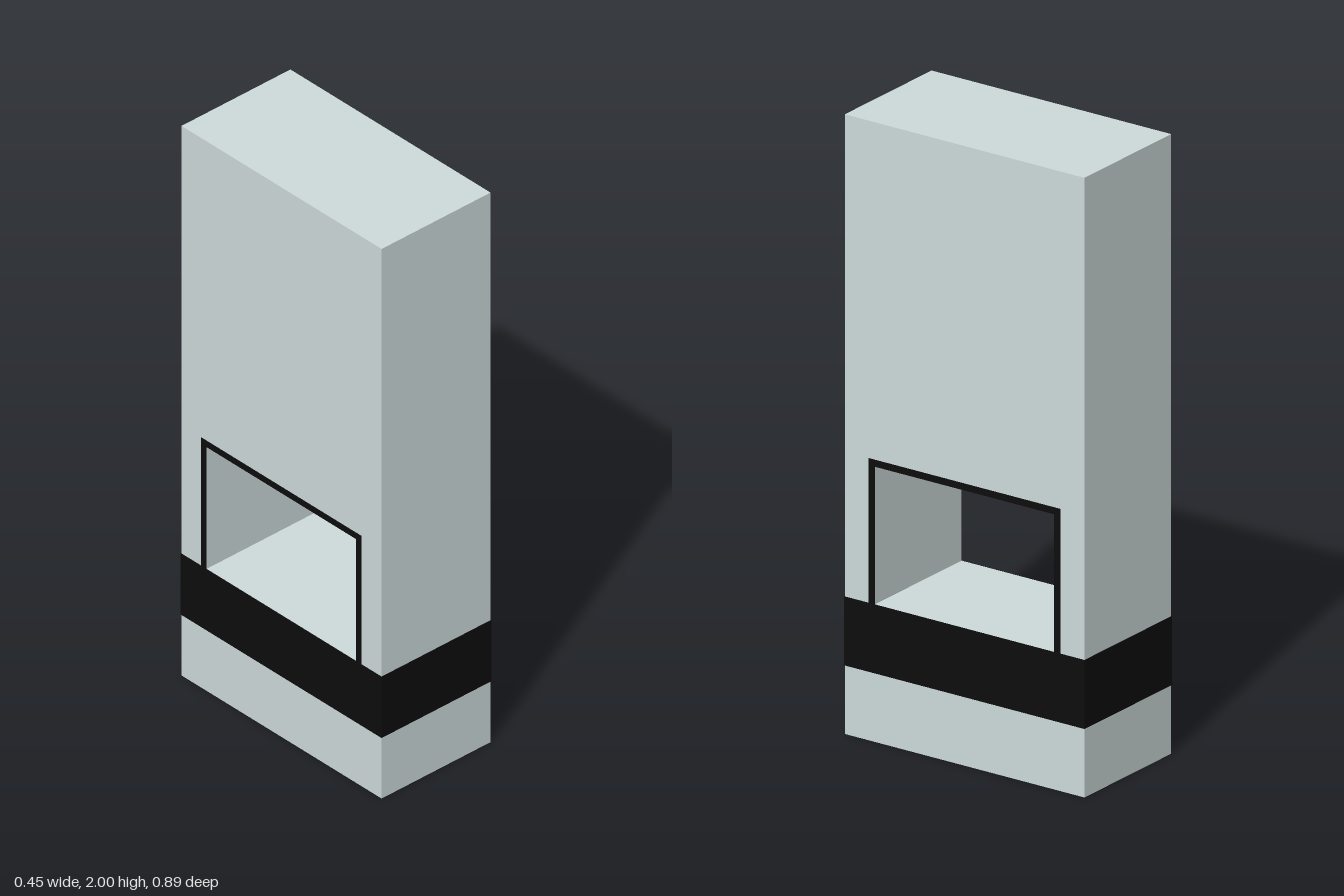
import * as THREE from 'three';

const W = 0.444, D = 0.889, H = 2;          // overall width (x), depth (z), height (y)
const BAND_LOW = 0.222, BAND_TOP = 0.444;   // dark band heights
const OPEN_HALF = 0.333, OPEN_TOP = 0.889;  // through opening above the band
const TRIM = 0.022, PROUD = 0.002;          // trim width, how far dark parts stand out

// Closed polygon from [x, y] corners
const outline = (points, Type = THREE.Shape) =>
  new Type(points.map(([x, y]) => new THREE.Vector2(x, y)));

const rect = (x0, y0, x1, y1) => [[x0, y0], [x1, y0], [x1, y1], [x0, y1]];

const extrude = (shape, depth) =>
  new THREE.ExtrudeGeometry(shape, { depth, bevelEnabled: false }).translate(0, 0, -depth / 2);

export function createModel() {
  const group = new THREE.Group();
  const pale = new THREE.MeshStandardMaterial({ color: 0xcfdcdb });
  const dark = new THREE.MeshStandardMaterial({ color: 0x0d0d0d });

  const add = (name, geometry, material) => {
    const mesh = new THREE.Mesh(geometry, material);
    mesh.name = name;
    group.add(mesh);
    return mesh;
  };

  // Tall block with a rectangular opening from side to side
  const side = outline(rect(-D / 2, 0, D / 2, H));
  side.holes.push(outline(rect(-OPEN_HALF, BAND_TOP, OPEN_HALF, OPEN_TOP), THREE.Path));
  add('body', extrude(side, W).rotateY(Math.PI / 2), pale);

  // Dark band wrapped around all four sides
  const x = W / 2, z = D / 2;
  const ring = outline(rect(-x - PROUD, -z - PROUD, x + PROUD, z + PROUD));
  ring.holes.push(outline(rect(-x, -z, x, z), THREE.Path));
  add('band', extrude(ring, BAND_TOP - BAND_LOW).rotateX(Math.PI / 2), dark)
    .position.y = (BAND_TOP + BAND_LOW) / 2;

  // Thin dark trim around the top and sides of the opening, on both faces
  const o = OPEN_HALF, t = OPEN_HALF + TRIM;
  const trim = outline([
    [-t, BAND_TOP], [-o, BAND_TOP], [-o, OPEN_TOP], [o, OPEN_TOP],
    [o, BAND_TOP], [t, BAND_TOP], [t, OPEN_TOP + TRIM], [-t, OPEN_TOP + TRIM],
  ]);
  for (const [name, s] of [['leftOpeningTrim', 1], ['rightOpeningTrim', -1]]) {
    add(name, extrude(trim, PROUD).rotateY(Math.PI / 2), dark)
      .position.x = s * (x + PROUD / 2);
  }

  return group;
}
